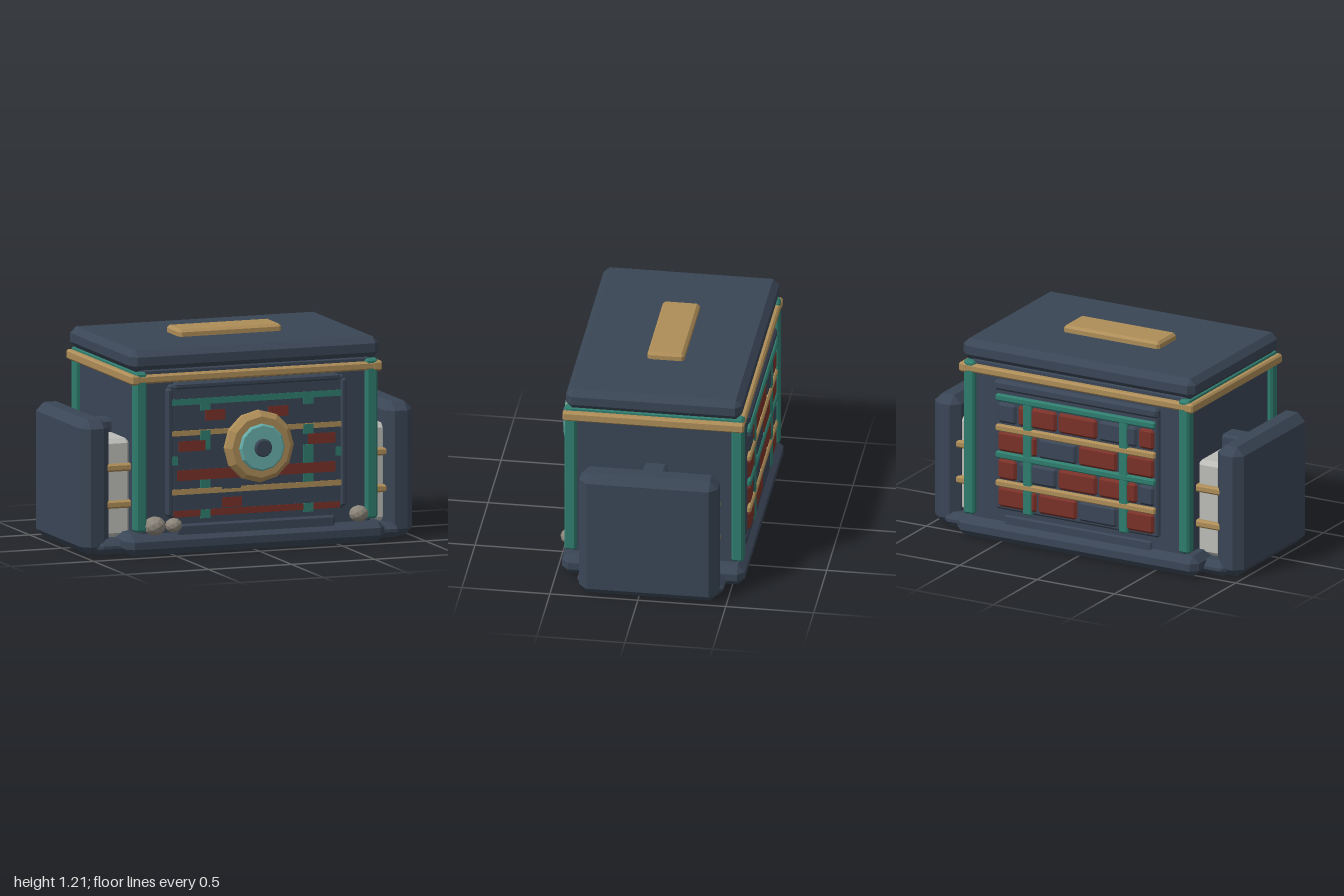
import * as THREE from 'three';
import { ConvexGeometry } from 'three/addons/geometries/ConvexGeometry.js';

const paint = (name, color) => {
  const m = new THREE.MeshStandardMaterial({ color });
  m.name = name;
  return m;
};

export function createModel() {
  const navy = paint('navy', 0x3a4656), teal = paint('teal', 0x2f7d6e), gold = paint('gold', 0xae8d58),
    red = paint('brick red', 0x7a3128), pale = paint('pale grey', 0xbcbcb8),
    aqua = paint('aqua', 0x68b0ab), stone = paint('stone', 0x8c857a);
  const model = new THREE.Group();

  const add = (name, geometry, material) => {
    const mesh = new THREE.Mesh(geometry, material);
    mesh.name = name;
    model.add(mesh);
    return mesh;
  };
  // box given by its limits, with all edges cut off by c
  const block = (name, mat, x0, x1, y0, y1, z0, z1, c = 0.01) => {
    const h = [(x1 - x0) / 2, (y1 - y0) / 2, (z1 - z0) / 2];
    const pts = [];
    for (const sx of [-1, 1]) for (const sy of [-1, 1]) for (const sz of [-1, 1]) {
      for (let full = 0; full < 3; full++) {
        const p = h.map((v, i) => (i === full ? v : v - c));
        pts.push(new THREE.Vector3(p[0] * sx, p[1] * sy, p[2] * sz));
      }
    }
    add(name, new ConvexGeometry(pts), mat).position.set((x0 + x1) / 2, (y0 + y1) / 2, (z0 + z1) / 2);
  };
  const plate = (name, mat, x0, x1, y0, y1, z, t = 0.006) =>
    add(name, new THREE.BoxGeometry(x1 - x0, y1 - y0, t), mat).position.set((x0 + x1) / 2, (y0 + y1) / 2, z);
  // same block on both sides of x = 0
  const pair = (name, mat, x0, x1, ...rest) => {
    block(name, mat, x0, x1, ...rest);
    block(name, mat, -x1, -x0, ...rest);
  };

  // base
  block('base', navy, -0.78, 0.78, 0.003, 0.125, -0.57, 0.47, 0.04);
  block('sill', navy, -0.48, 0.48, 0.08, 0.17, -0.54, 0.445, 0.012);
  pair('sideFoot', navy, 0.7, 0.92, 0.003, 0.09, -0.47, 0.36, 0.035);

  // body, posts and lid
  block('body', navy, -0.7, 0.7, 0.1, 1.07, -0.53, 0.43, 0.02);
  for (const [z0, z1] of [[0.39, 0.46], [-0.56, -0.49]]) {
    pair('cornerPost', teal, 0.66, 0.73, 0.14, 1.05, z0, z1, 0.012);
  }
  for (const [z0, z1] of [[0.41, 0.462], [-0.562, -0.51]]) {
    block('trimRail', gold, -0.74, 0.74, 0.985, 1.033, z0, z1, 0.01);
  }
  pair('sideTrimRail', gold, 0.7, 0.757, 0.98, 1.036, -0.565, 0.465, 0.01);
  pair('upperSideRail', teal, 0.68, 0.728, 1.03, 1.05, -0.55, 0.45, 0.004);
  block('lid', navy, -0.75, 0.75, 1.05, 1.17, -0.55, 0.45, 0.035);
  block('lidPlate', gold, -0.31, 0.31, 1.15, 1.21, -0.16, 0.05, 0.015);

  // side packs held between the body and an outer slab
  pair('sideSlab', navy, 0.83, 1, 0.003, 0.77, -0.45, 0.34, 0.047);
  for (const [z0, z1] of [[-0.4, -0.12], [0, 0.28]]) {
    pair('sidePack', pale, 0.69, 0.85, 0.09, 0.65, z0, z1, 0.025);
  }
  pair('sideStrut', navy, 0.68, 0.87, 0.05, 0.72, -0.125, 0.005, 0.015);
  for (const y of [0.28, 0.49]) pair('packBand', gold, 0.69, 0.865, y - 0.022, y + 0.022, -0.425, 0.305, 0.01);

  // front panel and its frame
  block('frontPanel', navy, -0.53, 0.53, 0.21, 0.97, 0.4, 0.455, 0.012);
  pair('frontFrame', navy, 0.505, 0.543, 0.22, 0.95, 0.4, 0.465, 0.012);
  block('frontFrameTop', navy, -0.5, 0.5, 0.94, 0.98, 0.4, 0.465, 0.012);

  // inlays on the front panel
  const inlays = [
    [teal, -0.51, 0.51, 0.85, 0.885],
    [gold, -0.51, -0.15, 0.675, 0.705], [gold, 0.15, 0.51, 0.675, 0.705],
    [gold, -0.51, -0.21, 0.34, 0.372], [gold, -0.09, 0.51, 0.34, 0.372], [gold, -0.21, -0.09, 0.34, 0.36],
    [red, -0.31, -0.19, 0.755, 0.815], [red, 0.07, 0.19, 0.755, 0.815],
    [red, -0.47, -0.31, 0.585, 0.645], [red, 0.31, 0.475, 0.585, 0.645],
    [red, -0.48, 0.475, 0.42, 0.48], [red, -0.21, -0.09, 0.255, 0.312], [red, -0.5, 0.5, 0.213, 0.25],
    [teal, -0.51, -0.475, 0.51, 0.56], [teal, 0.475, 0.51, 0.51, 0.56],
    [teal, -0.315, -0.28, 0.59, 0.7],
  ];
  for (const [mat, ...r] of inlays) plate('frontInlay', mat, ...r, 0.455);
  for (const s of [-1, 1]) {
    for (const [y0, y1] of [[0.815, 0.86], [0.645, 0.7], [0.372, 0.42], [0.2, 0.25]]) {
      plate('frontUpright', teal, s * 0.31 - 0.03, s * 0.31 + 0.03, y0, y1, 0.457);
    }
  }
  plate('frontUpright', teal, 0.28, 0.34, 0.48, 0.585, 0.457);

  // back grille: rows of staggered bricks between coloured rails
  block('grilleBack', navy, -0.53, 0.53, 0.2, 0.97, -0.55, -0.5, 0.012);
  block('grilleTop', navy, -0.53, 0.53, 0.91, 0.97, -0.567, -0.5, 0.015);
  [0.28, 0.445, 0.61, 0.78].forEach((y, row) => {
    const edges = row % 2 ? [-0.51, -0.4, -0.14, 0.12, 0.38, 0.51] : [-0.51, -0.27, -0.01, 0.25, 0.51];
    for (let i = 0; i + 1 < edges.length; i++) {
      const mat = (i + row) % 3 === 1 ? navy : red;
      block('brick', mat, edges[i] + 0.005, edges[i + 1] - 0.005, y - 0.06, y + 0.06, -0.566, -0.5, 0.015);
    }
  });
  [[0.36, gold], [0.53, teal], [0.69, gold], [0.87, teal]].forEach(([y, mat]) =>
    block('grilleRail', mat, -0.515, 0.515, y - 0.02, y + 0.02, -0.572, -0.5, 0.008));
  pair('grilleUpright', teal, 0.28, 0.34, 0.2, 0.87, -0.57, -0.5, 0.008);

  // round dial on the front, turned profiles facing +z
  const dial = (name, mat, profile) => {
    const g = new THREE.LatheGeometry(profile.map(p => new THREE.Vector2(...p)), 12).toNonIndexed();
    g.computeVertexNormals();
    g.rotateX(Math.PI / 2);
    add(name, g, mat).position.set(0, 0.597, 0);
  };
  dial('dialRing', gold, [[0.19, 0.44], [0.205, 0.47], [0.205, 0.505], [0.175, 0.532], [0, 0.532]]);
  dial('dialGlass', aqua, [[0.135, 0.52], [0.135, 0.544], [0.125, 0.553], [0, 0.553]]);
  dial('dialKnob', navy, [[0.052, 0.54], [0.052, 0.564], [0.044, 0.572], [0, 0.572]]);

  // pebbles lying on the base
  for (const [x, z, r] of [[-0.61, 0.442, 0.065], [-0.5, 0.455, 0.049], [0.62, 0.44, 0.056]]) {
    const g = new THREE.IcosahedronGeometry(r, 1);
    g.computeVertexNormals();
    const m = add('pebble', g, stone);
    m.position.set(x, 0.17, z);
    m.scale.y = 0.85;
  }

  // broken disc under the base
  [[red, 0.2, 2.3], [stone, 2.5, 0.35], [red, 3.1, 1.5], [stone, 4.9, 0.3], [red, 5.3, 0.7]].forEach(([mat, start, len]) => {
    const g = new THREE.CircleGeometry(0.19, 6, start, len);
    g.rotateX(Math.PI / 2);
    add('undersideDisc', g, mat).position.set(0, 0, -0.05);
  });

  return model;
}
